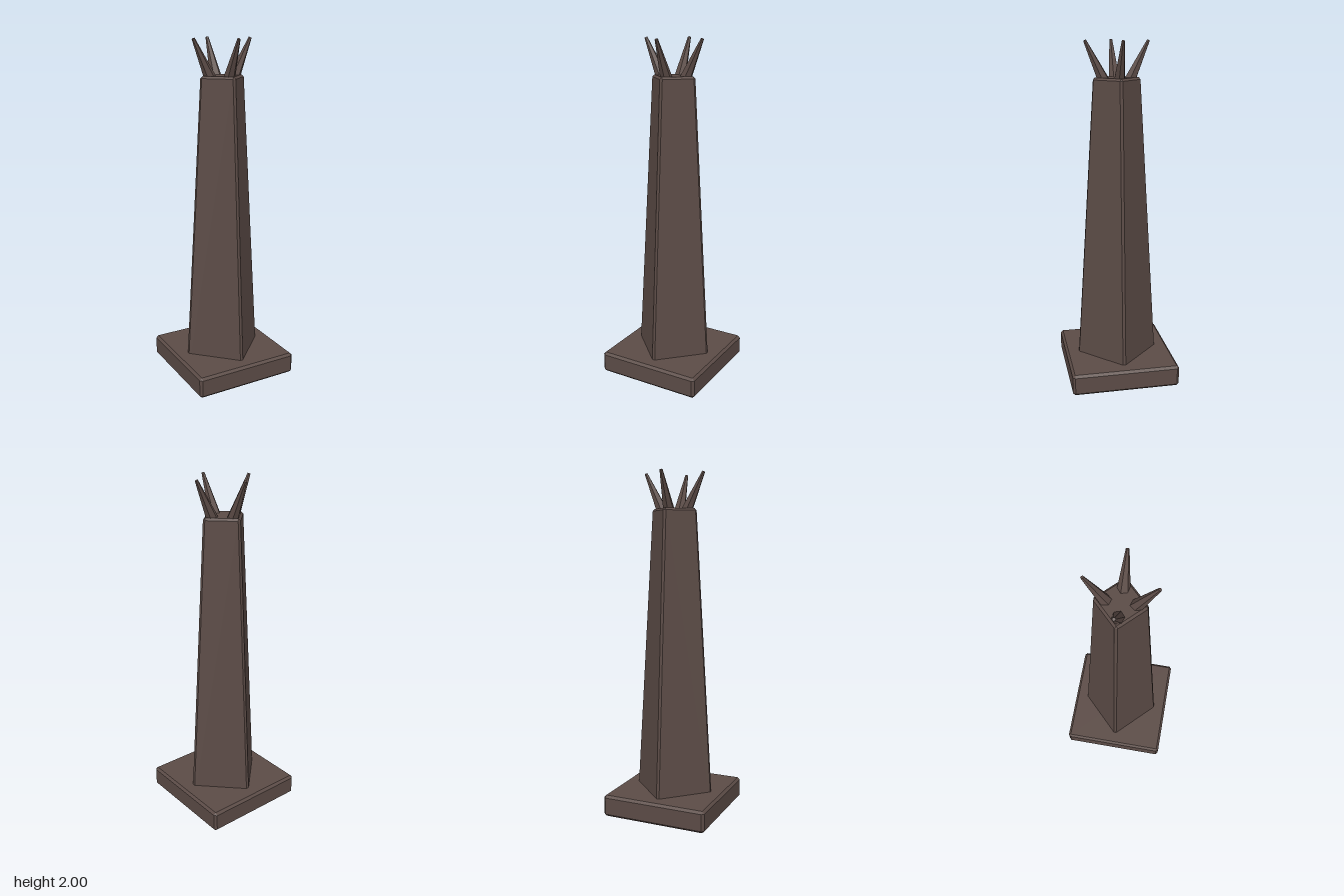
import * as THREE from 'three';
import { ConvexGeometry } from 'three/addons/geometries/ConvexGeometry.js';

const material = new THREE.MeshStandardMaterial({ color: 0x5b4b46, flatShading: true });

// Square block, optionally tapered, with every edge chamfered by c
function chamferedBlock(name, y0, y1, half0, half1, c) {
  const points = [];
  for (const [yEnd, ySide, h] of [[y0, y0 + c, half0], [y1, y1 - c, half1]]) {
    for (const sx of [-1, 1]) for (const sz of [-1, 1]) {
      points.push(
        new THREE.Vector3(sx * (h - c), yEnd, sz * (h - c)),
        new THREE.Vector3(sx * h, ySide, sz * (h - c)),
        new THREE.Vector3(sx * (h - c), ySide, sz * h),
      );
    }
  }
  const mesh = new THREE.Mesh(new ConvexGeometry(points), material);
  mesh.name = name;
  return mesh;
}

// Six-sided tapered spike between two points
function spike(name, from, to) {
  const axis = to.clone().sub(from);
  const mesh = new THREE.Mesh(new THREE.CylinderGeometry(0.009, 0.038, axis.length(), 6), material);
  mesh.position.copy(from).add(to).multiplyScalar(0.5);
  mesh.quaternion.setFromUnitVectors(new THREE.Vector3(0, 1, 0), axis.normalize());
  mesh.name = name;
  return mesh;
}

export function createModel() {
  const model = new THREE.Group();
  model.name = 'spikedObelisk';

  // Plinth turned 45 degrees to the shaft
  const plinth = chamferedBlock('plinth', 0.008, 0.135, 0.317, 0.317, 0.014);
  plinth.rotation.y = Math.PI / 4;
  model.add(plinth);

  // Tapered shaft
  model.add(chamferedBlock('shaft', 0, 1.795, 0.179, 0.101, 0.012));

  // Crown of four spikes leaning outward
  const crown = new THREE.Group();
  crown.name = 'crown';
  for (const sx of [-1, 1]) for (const sz of [-1, 1]) {
    const name = (sz > 0 ? 'front' : 'back') + (sx > 0 ? 'Left' : 'Right') + 'Spike';
    crown.add(spike(name,
      new THREE.Vector3(sx * 0.043, 1.75, sz * 0.043),
      new THREE.Vector3(sx * 0.127, 1.997, sz * 0.127)));
  }
  model.add(crown);
  return model;
}
